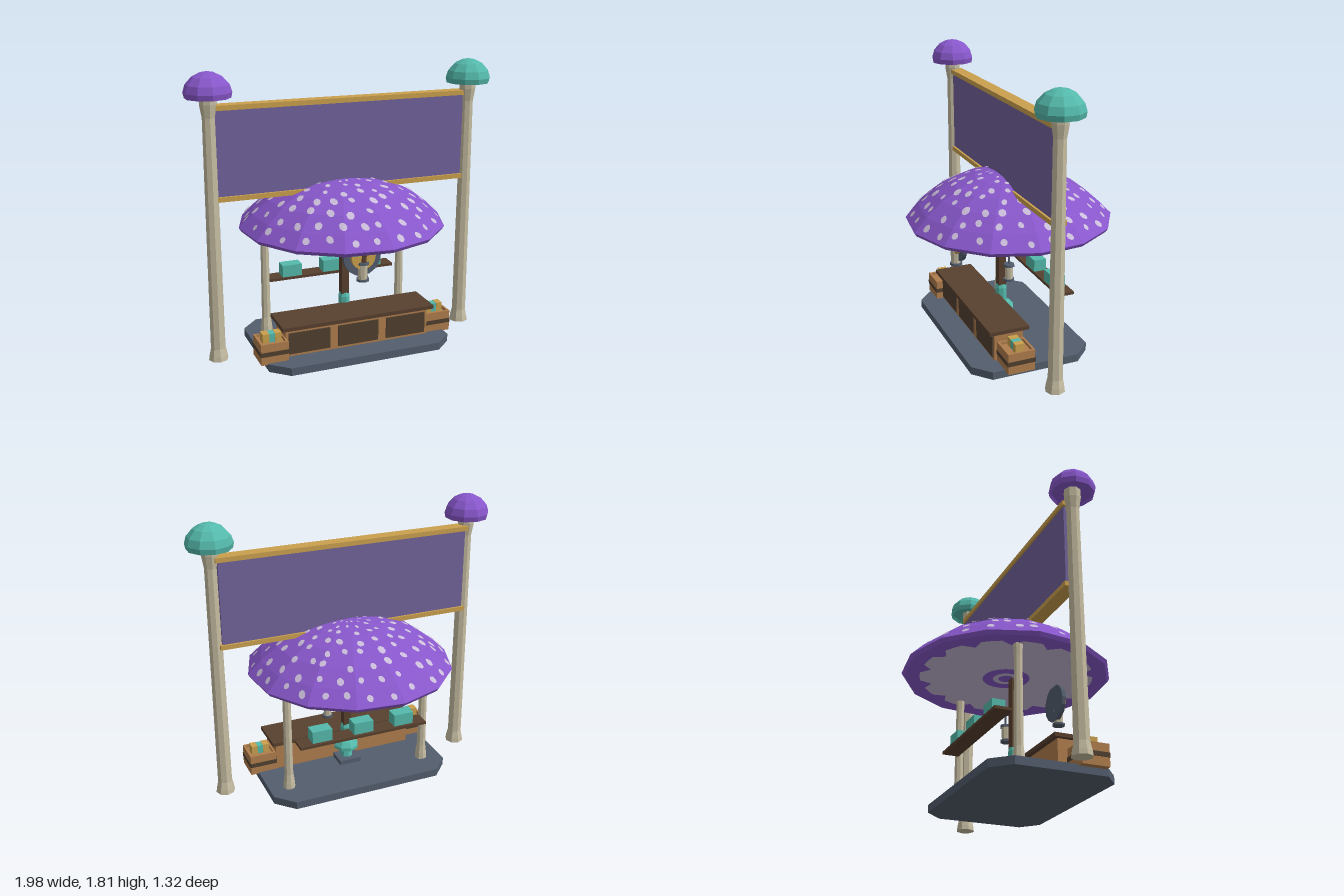
import * as THREE from 'three';

const mat = (name, color) => {
  const m = new THREE.MeshStandardMaterial({ color });
  m.name = name;
  return m;
};

export function createModel() {
  const M = {
    purple: mat('purple cap', 0x8857cb),
    pale: mat('pale lilac', 0xc9bcd8),
    teal: mat('teal', 0x54b9ab),
    cream: mat('cream stalk', 0xc6bda2),
    gold: mat('gold', 0xcaa04e),
    banner: mat('banner violet', 0x71629b),
    wood: mat('warm wood', 0xae7c4c),
    dark: mat('dark wood', 0x50402f),
    brown: mat('brown plank', 0x58402e),
    slate: mat('slate', 0x535d6d),
  };
  const root = new THREE.Group();

  // Faceted mesh helper
  const add = (name, geo, material, x = 0, y = 0, z = 0, parent = root) => {
    const g = geo.index ? geo.toNonIndexed() : geo;
    g.computeVertexNormals();
    const mesh = new THREE.Mesh(g, material);
    mesh.name = name;
    mesh.position.set(x, y, z);
    parent.add(mesh);
    return mesh;
  };
  // Box given by its min and max corners
  const box = (name, m, x0, x1, y0, y1, z0, z1, parent = root) =>
    add(name, new THREE.BoxGeometry(x1 - x0, y1 - y0, z1 - z0), m,
      (x0 + x1) / 2, (y0 + y1) / 2, (z0 + z1) / 2, parent);
  const lathe = (pts, sides) =>
    new THREE.LatheGeometry(pts.map(([r, y]) => new THREE.Vector2(r, y)), sides);
  const group = (name) => {
    const g = new THREE.Group();
    g.name = name;
    root.add(g);
    return g;
  };

  // Platform with cut corners
  const plan = new THREE.Shape([
    [-0.5, -0.46], [0.5, -0.46], [0.612, -0.36], [0.612, 0.21],
    [0.5, 0.325], [-0.5, 0.325], [-0.612, 0.21], [-0.612, -0.36],
  ].map(([x, y]) => new THREE.Vector2(x, y)));
  add('platform', new THREE.ExtrudeGeometry(plan, { depth: 0.05, bevelEnabled: false })
    .rotateX(-Math.PI / 2), M.slate);

  // Tall gate posts with toadstool tops
  for (const s of [-1, 1]) {
    const side = s > 0 ? 'left' : 'right';
    add(side + 'GatePost', lathe([[0, 0], [0.062, 0], [0.058, 0.03], [0.047, 0.08], [0.04, 1.54],
      [0.053, 1.62], [0.053, 1.68], [0, 1.68]], 8), M.cream, s * 0.855, 0, 0.065);
    add(side + 'GateCap', lathe([[0, 1.69], [0.125, 1.675], [0.137, 1.657], [0.144, 1.69],
      [0.13, 1.735], [0.09, 1.78], [0.045, 1.803], [0, 1.812]], 10),
      s > 0 ? M.teal : M.purple, s * 0.855, 0, 0.065);
  }

  // Banner between gold rails
  box('banner', M.banner, -0.825, 0.825, 1.04, 1.59, 0.018, 0.075);
  for (const y of [1.026, 1.58]) box('bannerRail', M.gold, -0.84, 0.84, y, y + 0.03, 0.005, 0.09);

  // Mushroom roof
  const SIDES = 14, TURN = 6.5 * Math.PI / 180;
  const dome = [[0.665, 0.8], [0.58, 0.885], [0.47, 0.97], [0.36, 1.03], [0.22, 1.076], [0.1, 1.094], [0, 1.1]];
  const roof = group('mushroomRoof');
  roof.rotation.y = TURN;
  add('roofCap', lathe([[0, 0.785], [0.63, 0.785], [0.65, 0.776], ...dome], SIDES), M.purple, 0, 0, 0, roof);

  // Point on the faceted roof at angle a and radius r
  const domeHeight = (r) => {
    let i = 0;
    while (i < dome.length - 2 && r < dome[i + 1][0]) i++;
    const [r0, y0] = dome[i], [r1, y1] = dome[i + 1];
    return y0 + (y1 - y0) * (r0 - r) / (r0 - r1);
  };
  const step = 2 * Math.PI / SIDES;
  const onRoof = (a, r) => {
    const k = Math.floor(a / step), f = a / step - k;
    const a0 = k * step, a1 = a0 + step;
    const dx = Math.sin(a0) * (1 - f) + Math.sin(a1) * f;
    const dz = Math.cos(a0) * (1 - f) + Math.cos(a1) * f;
    const lift = 0.003 + 0.003 * r;
    return [dx * (r + lift), domeHeight(r) + 0.005, dz * (r + lift)];
  };
  let seed = 7;
  const rnd = () => (seed = (seed * 16807) % 2147483647) / 2147483647;

  // Roof spots: rings of small blunt patches
  const spots = [];
  for (const [r, n, w, h] of [[0.055, 10, 0.006, 0.012], [0.12, 12, 0.01, 0.017], [0.2, 14, 0.016, 0.02],
    [0.285, 17, 0.019, 0.022], [0.37, 20, 0.021, 0.024], [0.46, 23, 0.022, 0.023],
    [0.545, 25, 0.022, 0.021], [0.62, 27, 0.021, 0.017]]) {
    for (let i = 0; i < n; i++) {
      const a = (i + 0.5 * rnd() + r * 5) / n * 2 * Math.PI;
      const rr = r + (rnd() - 0.5) * 0.03, k = 0.8 + 0.4 * rnd(), tw = rnd() * 0.8;
      const edge = (j) => {
        const t = j * Math.PI / 4 + Math.PI / 8;
        const u = Math.cos(t) * w * k, v = Math.sin(t) * h * k;
        return onRoof(a + (u + v * tw * 0.4) / rr, Math.min(0.655, rr + v));
      };
      for (let j = 0; j < 8; j++) spots.push(...onRoof(a, rr), ...edge(j + 1), ...edge(j));
    }
  }
  const spotGeo = new THREE.BufferGeometry();
  spotGeo.setAttribute('position', new THREE.Float32BufferAttribute(spots, 3));
  add('roofSpots', spotGeo, M.pale, 0, 0, 0, roof);

  // Pale gills with a scalloped edge, and a pale inner ring
  const gillShape = new THREE.Shape();
  for (let i = 0; i < 56; i++) {
    const a = i / 56 * 2 * Math.PI, r = i % 4 === 0 ? 0.49 : 0.55;
    gillShape[i ? 'lineTo' : 'moveTo'](r * Math.cos(a), r * Math.sin(a));
  }
  gillShape.holes.push(new THREE.Path().absarc(0, 0, 0.15, 0, 2 * Math.PI, true));
  add('gills', new THREE.ShapeGeometry(gillShape).rotateX(Math.PI / 2), M.pale, 0, 0.781, 0, roof);
  add('gillRing', new THREE.RingGeometry(0.05, 0.085, 16).rotateX(Math.PI / 2), M.pale, 0, 0.781, 0, roof);

  // Roof stalks
  for (const s of [-1, 1]) {
    add('roofStalk', lathe([[0, 0.04], [0.042, 0.04], [0.038, 0.09], [0.03, 0.15], [0.027, 0.7],
      [0.031, 0.79], [0, 0.79]], 8), M.cream, s * 0.48, 0, -0.13);
  }

  // Counter
  box('counterBody', M.wood, -0.485, 0.485, 0.05, 0.236, 0.11, 0.3);
  box('counterTop', M.brown, -0.513, 0.513, 0.236, 0.26, 0.08, 0.34);
  for (const x of [-0.33, 0, 0.33]) {
    box('counterPanel', M.dark, x - 0.137, x + 0.137, 0.067, 0.206, 0.3, 0.308);
  }

  // Back shelf with teal boxes
  box('shelf', M.brown, -0.44, 0.44, 0.378, 0.396, -0.26, -0.15);
  for (const x of [-0.285, 0, 0.285]) box('shelfBox', M.teal, x - 0.067, x + 0.067, 0.396, 0.476, -0.24, -0.155);

  // Open crates with goods
  for (const [name, cx, cz] of [['rightCrate', -0.568, 0.26], ['leftCrate', 0.575, 0.195]]) {
    const c = group(name);
    c.position.set(cx, 0, cz);
    const h = 0.088, t = 0.014;
    box('crateFloor', M.wood, -h + t, h - t, 0.042, 0.06, -h + t, h - t, c);
    for (const s of [-1, 1]) {
      const a = s > 0 ? h - t : -h;
      box('crateWall', M.wood, -h, h, 0.042, 0.178, a, a + t, c);
      box('crateWall', M.wood, a, a + t, 0.042, 0.178, -h + t, h - t, c);
      const b = s > 0 ? h : -h - 0.004;
      box('crateBand', M.dark, -h, h, 0.097, 0.125, b, b + 0.004, c);
      box('crateBand', M.dark, b, b + 0.004, 0.097, 0.125, -h, h, c);
    }
    box('crateFill', M.wood, -h + t, h - t, 0.06, 0.16, -h + t, h - t, c);
    box('crateGoods', M.gold, -0.06, -0.018, 0.16, 0.218, -0.03, 0.03, c);
    box('crateGoods', M.teal, -0.018, 0.02, 0.16, 0.216, -0.028, 0.028, c);
    box('crateGoods', M.gold, 0.02, 0.06, 0.16, 0.218, -0.03, 0.03, c);
  }

  // Centre column rising from a teal toadstool
  const column = group('centreColumn');
  column.position.z = 0.055;
  box('columnFoot', M.slate, -0.075, 0.075, 0.05, 0.08, -0.08, 0.05, column);
  add('toadstool', lathe([[0, 0.08], [0.045, 0.08], [0.035, 0.14], [0.085, 0.145], [0.085, 0.165],
    [0.06, 0.195], [0.04, 0.205], [0.04, 0.3], [0.03, 0.325], [0, 0.325]], 8), M.teal, 0, 0, 0, column);
  box('columnShaft', M.brown, -0.026, 0.026, 0.32, 0.785, -0.026, 0.026, column);

  // Lantern: cream body between slate plates
  const lantern = (name, x, y, z, r, h) => {
    const g = group(name);
    g.position.set(x, y, z);
    add('lanternBase', new THREE.CylinderGeometry(r * 1.25, r * 1.25, 0.014, 8), M.slate, 0, 0.007, 0, g);
    add('lanternBody', new THREE.CylinderGeometry(r, r * 0.92, h, 8), M.cream, 0, 0.014 + h / 2, 0, g);
    add('lanternTop', new THREE.CylinderGeometry(r * 1.2, r * 1.3, 0.016, 8), M.slate, 0, 0.022 + h, 0, g);
    return g;
  };
  lantern('frontLantern', 0, 0.515, 0.367, 0.033, 0.095);
  lantern('sideLantern', 0.133, 0.403, 0.055, 0.029, 0.085);
  box('lanternRod', M.slate, 0.128, 0.138, 0.5, 0.6, 0.05, 0.06);
  box('lanternArm', M.slate, 0.026, 0.15, 0.585, 0.61, 0.045, 0.065);

  // Round hanging sign with a gold and teal face
  const disc = (r, d, n = 16, a = 0, l = 2 * Math.PI) =>
    new THREE.CylinderGeometry(r, r, d, n, 1, false, a, l).rotateX(Math.PI / 2);
  add('signDisc', disc(0.124, 0.026), M.slate, 0, 0.668, 0.348);
  add('signFace', disc(0.08, 0.024), M.gold, 0, 0.672, 0.372);
  add('signCrescent', disc(0.07, 0.008, 10, Math.PI / 2, Math.PI), M.teal, 0, 0.685, 0.387);
  box('signHook', M.brown, -0.014, 0.014, 0.63, 0.712, 0.36, 0.396);
  return root;
}
